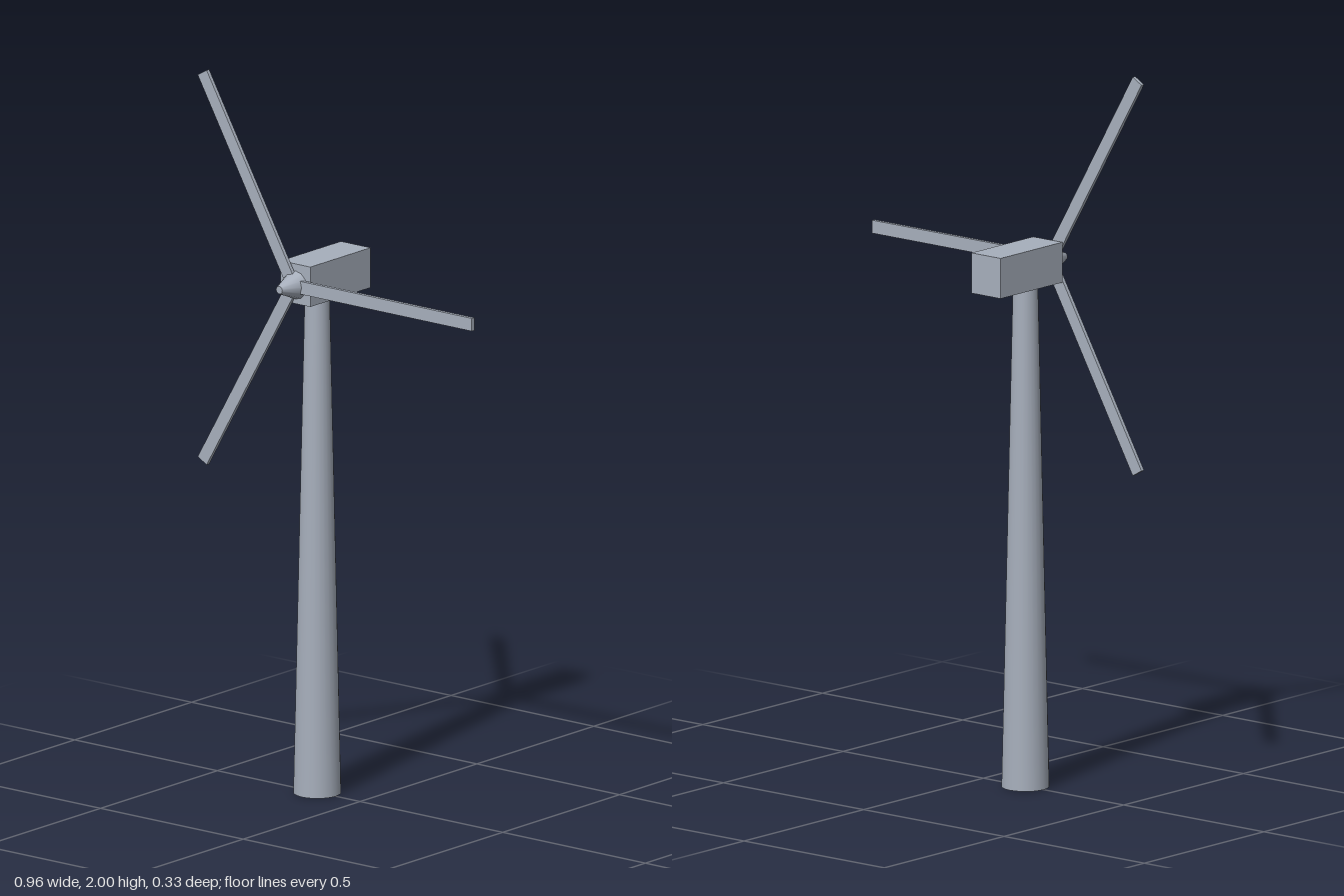
import * as THREE from 'three';

const AXIS_X = -0.15;   // tower and rotor axis
const HUB_Y = 1.446;

export function createModel() {
  const model = new THREE.Group();
  model.name = 'windTurbine';
  const paint = new THREE.MeshStandardMaterial({ color: 0xa6aebb });
  paint.name = 'pale blue grey';

  const add = (name, geometry, x, y, z, parent = model) => {
    const mesh = new THREE.Mesh(geometry, paint);
    mesh.name = name;
    mesh.position.set(x, y, z);
    parent.add(mesh);
    return mesh;
  };

  // Tapered tower
  add('tower', new THREE.CylinderGeometry(0.034, 0.065, 1.4, 24), AXIS_X, 0.7, 0);

  // Box housing on top of the tower
  add('nacelle', new THREE.BoxGeometry(0.104, 0.112, 0.258), AXIS_X, 1.449, -0.036);

  // Rotor: blunt cone hub and three flat blades
  const rotor = new THREE.Group();
  rotor.name = 'rotor';
  rotor.position.set(AXIS_X, HUB_Y, 0);
  model.add(rotor);

  const hub = new THREE.CylinderGeometry(0.011, 0.04, 0.071, 12);
  hub.rotateX(Math.PI / 2);
  add('hub', hub, 0, 0, 0.1275, rotor);

  const bladeShape = new THREE.BoxGeometry(0.63, 0.036, 0.011);
  bladeShape.translate(0.315, 0, 0);
  for (let i = 0; i < 3; i++) {
    const blade = add('blade' + (i + 1), bladeShape, 0, 0, 0.1025, rotor);
    blade.rotation.z = (i * Math.PI * 2) / 3;
  }
  return model;
}
